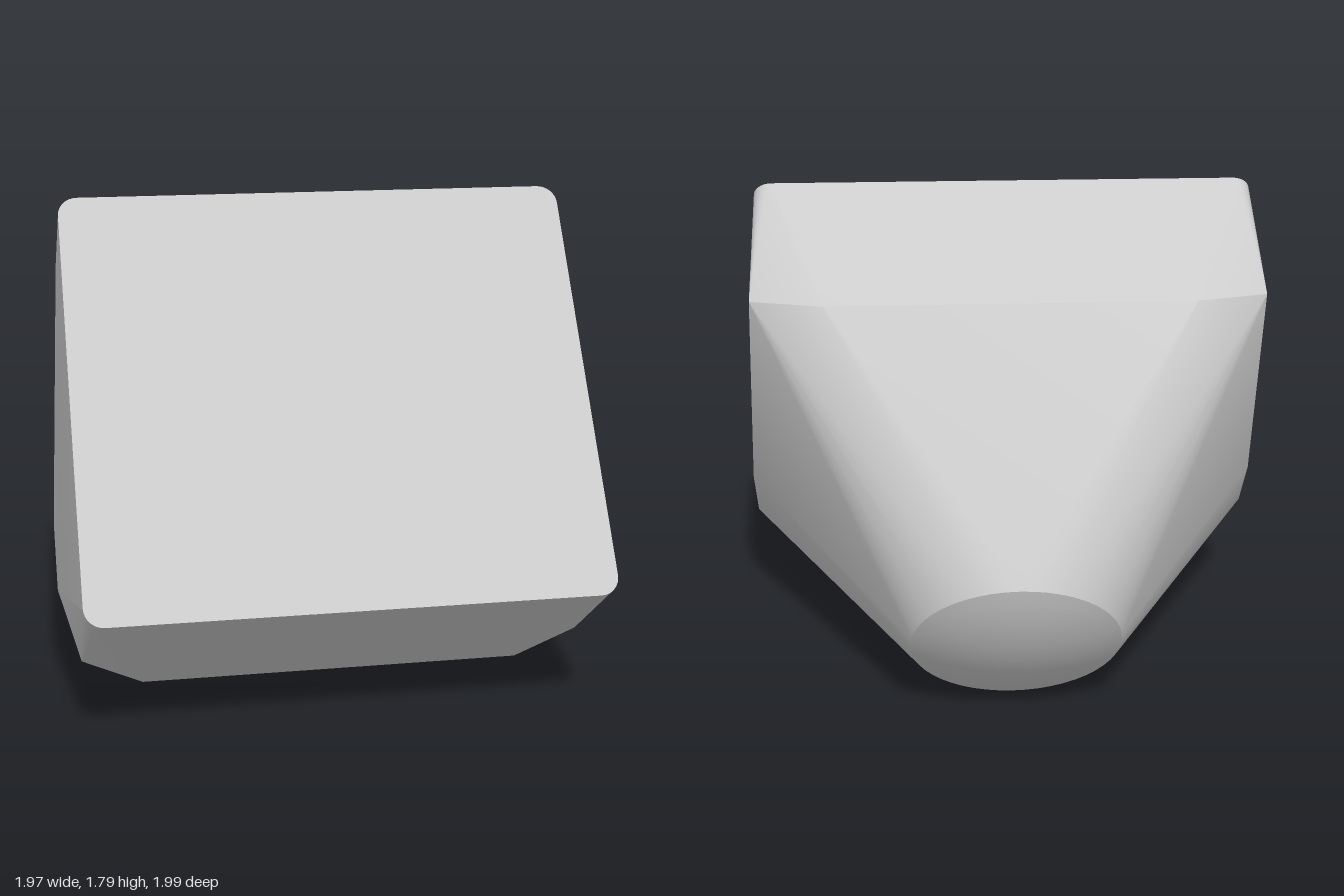
import * as THREE from 'three';
import { toCreasedNormals } from 'three/addons/utils/BufferGeometryUtils.js';
import { ConvexGeometry } from 'three/addons/geometries/ConvexGeometry.js';

const FRONT = { x: 0.93, y: 0.794, r: 0.07 };       // rounded front face
const REAR = { y: 0.078, z: -1.557, r: 0.378, bulge: 0.075 }; // round rear end

export function createModel() {
  const group = new THREE.Group();
  const grey = new THREE.MeshStandardMaterial({ color: 0xcccccc });
  grey.name = 'light grey';

  const points = [];
  const addPair = (x, y, z) => points.push(new THREE.Vector3(x, y, z), new THREE.Vector3(-x, y, z));

  // Front face: rounded rectangle
  const steps = 8;
  for (let i = 0; i <= steps; i++) {
    const a = (i / steps) * Math.PI / 2;
    const x = FRONT.x - FRONT.r + FRONT.r * Math.cos(a);
    const y = FRONT.y - FRONT.r + FRONT.r * Math.sin(a);
    addPair(x, y, 0);
    addPair(x, -y, 0);
  }

  // Widest ring, where the flared front meets the taper
  [
    [0.66, 0.849, -0.625], [0.925, 0.78, -0.545],
    [0.987, -0.23, -0.63], [0.987, -0.49, -0.62],
    [0.92, -0.78, -0.54], [0.7, -0.85, -0.635],
  ].forEach((p) => addPair(...p));

  // Rear circle
  const sides = 48;
  for (let i = 0; i < sides; i++) {
    const a = (i / sides) * Math.PI * 2;
    points.push(new THREE.Vector3(REAR.r * Math.cos(a), REAR.y + REAR.r * Math.sin(a), REAR.z));
  }
  const body = new THREE.Mesh(toCreasedNormals(new ConvexGeometry(points), Math.PI / 6), grey);
  body.name = 'taperedBody';

  // Shallow spherical cap over the rear circle
  const R = (REAR.r ** 2 + REAR.bulge ** 2) / (2 * REAR.bulge);
  const half = Math.asin(REAR.r / R);
  const profile = [];
  for (let i = 0; i <= 10; i++) {
    const a = half * (1 - i / 10);
    profile.push(new THREE.Vector2(R * Math.sin(a), R * Math.cos(a) - R + REAR.bulge));
  }
  const dome = new THREE.Mesh(new THREE.LatheGeometry(profile, sides), grey);
  dome.name = 'rearDome';
  dome.rotation.x = -Math.PI / 2;
  dome.position.set(0, REAR.y, REAR.z);

  // Lean the whole form back
  const tilted = new THREE.Group();
  tilted.name = 'tiltedBlock';
  tilted.add(body, dome);
  tilted.rotation.x = THREE.MathUtils.degToRad(-35);
  tilted.position.set(0, 1.15, 0.545);
  group.add(tilted);
  return group;
}
